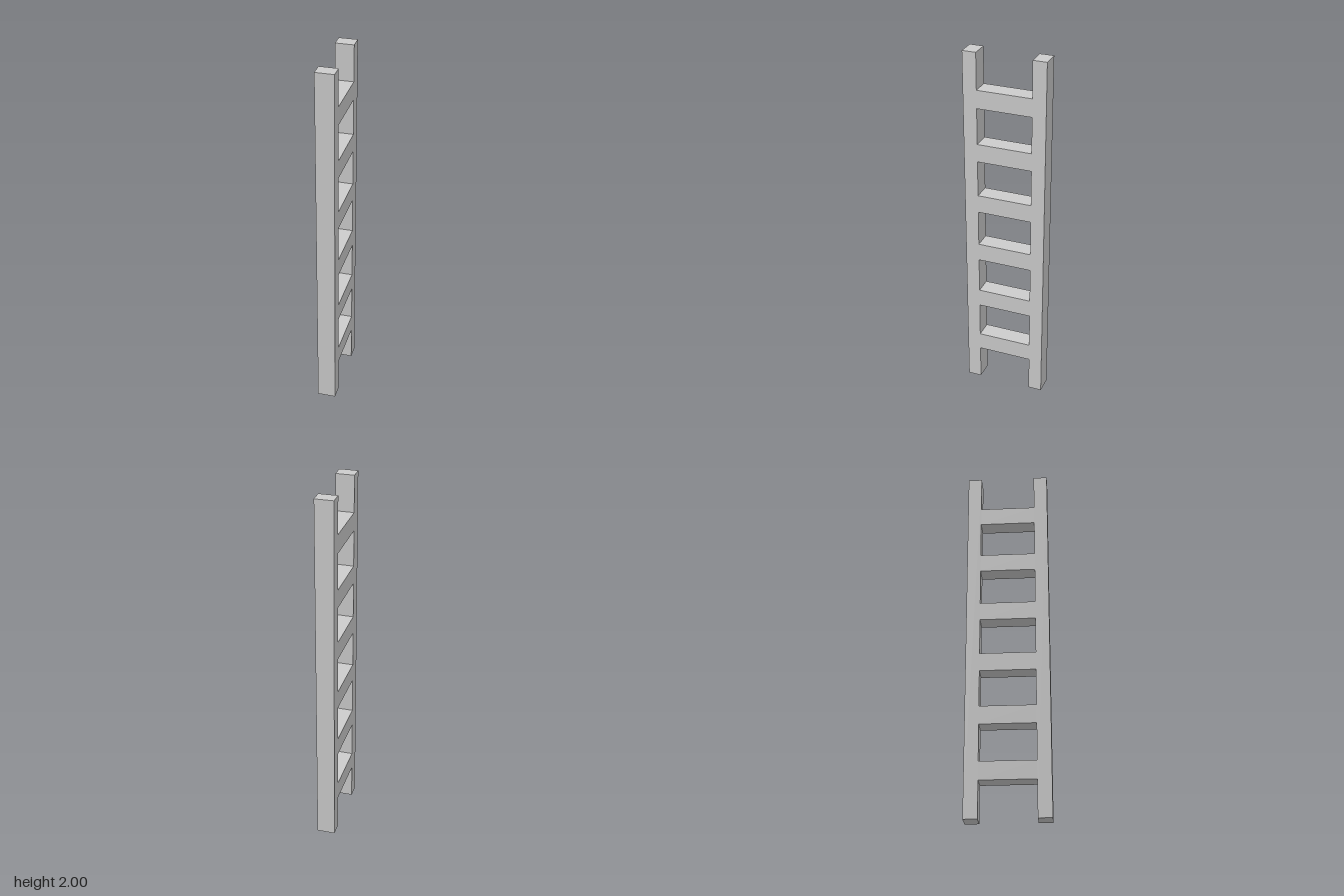
import * as THREE from 'three';

const HEIGHT = 2;
const DEPTH = 0.1;         // thickness along x
const RAIL_WIDTH = 0.075;
const GAP = 0.3;           // clear span between the rails
const RUNG_HEIGHT = 0.1;
const RUNG_COUNT = 6;
const FIRST_RUNG = 0.25;   // centre of the lowest rung
const RUNG_SPACING = 0.3;

export function createModel() {
  const ladder = new THREE.Group();
  ladder.name = 'ladder';
  const material = new THREE.MeshStandardMaterial({ color: 0xcccccc, flatShading: true });

  const addPart = (name, geometry, y, z) => {
    const mesh = new THREE.Mesh(geometry, material);
    mesh.name = name;
    mesh.position.set(0, y, z);
    ladder.add(mesh);
  };

  // Two upright side rails
  const railGeometry = new THREE.BoxGeometry(DEPTH, HEIGHT, RAIL_WIDTH);
  const railZ = (GAP + RAIL_WIDTH) / 2;
  addPart('frontRail', railGeometry, HEIGHT / 2, railZ);
  addPart('backRail', railGeometry, HEIGHT / 2, -railZ);

  // Evenly spaced rungs, flush with the rails
  const rungGeometry = new THREE.BoxGeometry(DEPTH, RUNG_HEIGHT, GAP);
  for (let i = 0; i < RUNG_COUNT; i++) {
    addPart(`rung${i + 1}`, rungGeometry, FIRST_RUNG + i * RUNG_SPACING, 0);
  }

  return ladder;
}
